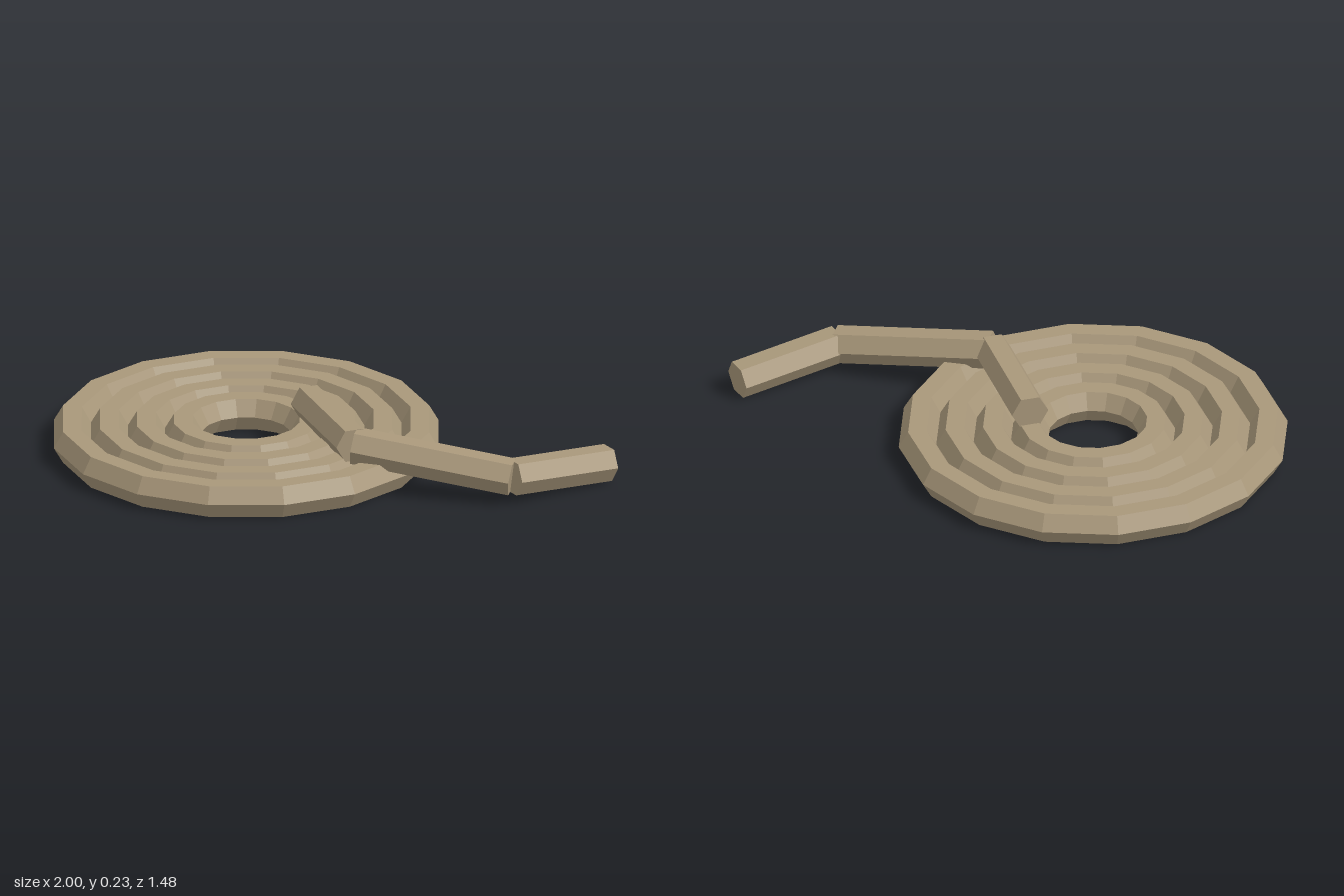
import * as THREE from 'three';

const R = 0.07; // rope radius, six-sided section with flat top and bottom

export function createModel() {
  const model = new THREE.Group();
  model.name = 'ropeCoil';
  const rope = new THREE.MeshStandardMaterial({ color: 0xa8977a, flatShading: true });
  rope.name = 'tan rope';

  // Flat coil: four touching concentric rings
  const coil = new THREE.Group();
  coil.name = 'coil';
  coil.position.set(-0.277, 0.061, -0.023);
  for (let i = 0; i < 4; i++) {
    const ring = new THREE.Mesh(new THREE.TorusGeometry(0.235 + i * 0.139, R, 6, 16).rotateX(Math.PI / 2), rope);
    ring.name = `coilRing${i + 1}`;
    coil.add(ring);
  }
  model.add(coil);

  // Loose end: straight lengths lying over the coil and down to the ground
  const path = [
    [-0.043, 0.171, -0.024],
    [0.037, 0.171, 0.437],
    [0.583, 0.096, 0.673],
    [0.973, 0.064, 0.521],
  ].map((p) => new THREE.Vector3(...p));
  const tail = new THREE.Group();
  tail.name = 'looseEnd';
  for (let i = 0; i < path.length - 1; i++) {
    const length = path[i].distanceTo(path[i + 1]);
    const geometry = new THREE.CylinderGeometry(R, R, length, 6).rotateY(Math.PI / 2).rotateX(Math.PI / 2);
    const piece = new THREE.Mesh(geometry, rope);
    piece.name = `looseEndLength${i + 1}`;
    piece.position.lerpVectors(path[i], path[i + 1], 0.5);
    piece.lookAt(path[i + 1]);
    tail.add(piece);
  }
  model.add(tail);
  return model;
}
